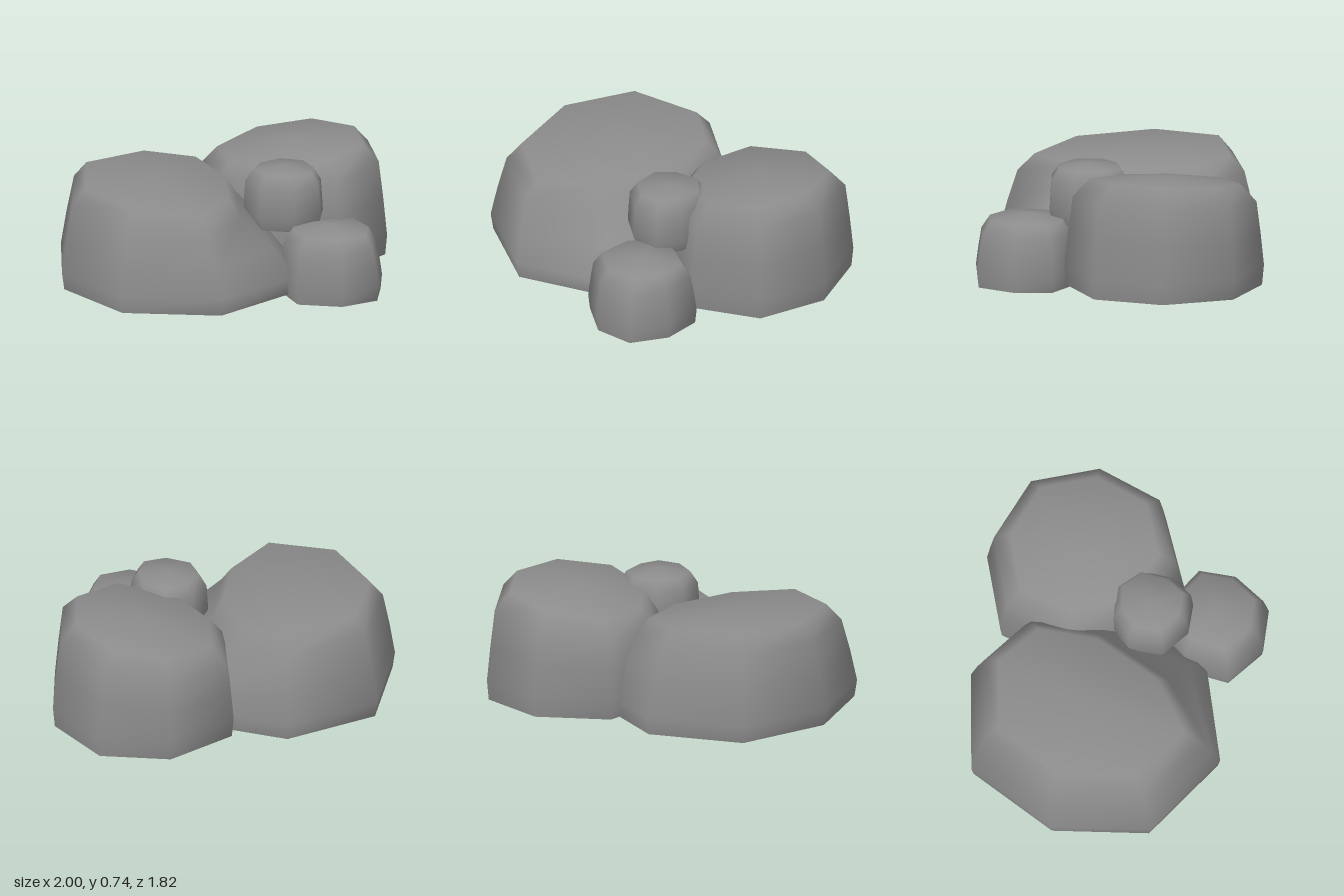
import * as THREE from 'three';

const material = new THREE.MeshStandardMaterial({ color: 0x8c8c8c });

// A boulder: stacked rings blended from a foot outline to a shoulder outline,
// closed by shallow cones. Outlines are [x, z] pairs running left, front, right, back.
function rock(name, { foot, shoulder, y, footInset, topInset, tilt = [0, 0], capRise = 0.02 }) {
  const n = foot.length;
  const middle = (o) => [0, 1].map((k) => o.reduce((s, p) => s + p[k], 0) / n);
  const inset = (o, s) => {
    const c = middle(o);
    return o.map((p) => p.map((v, k) => c[k] + (v - c[k]) * s));
  };
  const blend = (t) => foot.map((p, i) => p.map((v, k) => v + (shoulder[i][k] - v) * t));
  const [yBottom, yRim, yWide, yShoulder, yTop] = y;
  const centre = middle(shoulder);
  const rings = [
    [inset(foot, footInset), yRim, 0],
    [foot, yWide, 0],
    [blend(0.45), yWide + (yShoulder - yWide) * 0.5, 0.4],
    [shoulder, yShoulder, 0.9],
    [inset(shoulder, topInset), yTop, 1],
  ];
  const pos = [];
  for (const [outline, h, lean] of rings) {
    for (const [x, z] of outline) {
      const slope = (x - centre[0]) * tilt[0] + (z - centre[1]) * tilt[1];
      pos.push(x, h + slope * lean, z);
    }
  }
  const base = middle(foot);
  pos.push(base[0], yBottom, base[1], centre[0], yTop + capRise, centre[1]);

  const bottom = rings.length * n, top = bottom + 1, last = (rings.length - 1) * n;
  const upper = [], underside = [];
  for (let i = 0; i < n; i++) {
    const j = (i + 1) % n;
    for (let r = 0; r < last; r += n) {
      upper.push(r + i, r + j, r + n + j, r + i, r + n + j, r + n + i);
    }
    upper.push(top, last + i, last + j);
    underside.push(bottom, j, i);
  }
  const geometry = new THREE.BufferGeometry();
  geometry.setAttribute('position', new THREE.Float32BufferAttribute(pos, 3));
  // The rim keeps the normals of the walls, so the underside rounds off smoothly
  geometry.setIndex(upper);
  geometry.computeVertexNormals();
  geometry.attributes.normal.setXYZ(bottom, 0, -1, 0);
  geometry.setIndex([...upper, ...underside]);
  const mesh = new THREE.Mesh(geometry, material);
  mesh.name = name;
  return mesh;
}

// Shoulder outline made by shrinking a foot outline about a point
const shrink = (o, s, cx, cz) => o.map(([x, z]) => [cx + (x - cx) * s, cz + (z - cz) * s]);

export function createModel() {
  const group = new THREE.Group();
  group.name = 'rockPile';

  // Broad boulder with one long sloping side
  group.add(rock('largeRock', {
    foot: [[-1, 0.24], [-0.73, 0.76], [-0.15, 0.91], [0.37, 0.52],
      [0.4, -0.05], [0.08, -0.5], [-0.39, -0.64], [-0.91, -0.35]],
    shoulder: [[-0.93, 0.2], [-0.68, 0.68], [-0.22, 0.82], [0.03, 0.46],
      [0.08, -0.03], [-0.06, -0.42], [-0.4, -0.54], [-0.84, -0.3]],
    y: [0, 0.05, 0.15, 0.54, 0.64], footInset: 0.98, topInset: 0.86,
    tilt: [-0.055, -0.04],
  }));

  // Tall boulder behind, its domed top rising to one side
  const tall = [[-0.04, -0.19], [0.24, 0.13], [0.69, 0.2], [1, -0.09],
    [1, -0.53], [0.72, -0.88], [0.29, -0.91], [-0.07, -0.62]];
  group.add(rock('tallRock', {
    foot: tall, shoulder: shrink(tall, 0.92, 0.42, -0.37),
    y: [0.01, 0.06, 0.18, 0.58, 0.685], footInset: 0.98, topInset: 0.82,
    tilt: [0.13, -0.01], capRise: 0.04,
  }));

  // Small stone on the ground in front
  const low = [[0.27, 0.43], [0.33, 0.7], [0.59, 0.79], [0.82, 0.7],
    [0.88, 0.46], [0.8, 0.23], [0.58, 0.18], [0.36, 0.22]];
  group.add(rock('frontRock', {
    foot: low, shoulder: shrink(low, 0.9, 0.52, 0.48),
    y: [0, 0.03, 0.12, 0.34, 0.42], footInset: 0.97, topInset: 0.82, capRise: 0.03,
  }));

  // Smallest stone perched between the others
  const perched = [[0.1, 0.15], [0.17, 0.34], [0.36, 0.41], [0.53, 0.35],
    [0.57, 0.19], [0.52, -0.01], [0.35, -0.09], [0.18, 0]];
  group.add(rock('perchedRock', {
    foot: perched, shoulder: shrink(perched, 0.95, 0.32, 0.16),
    y: [0.36, 0.38, 0.45, 0.64, 0.71], footInset: 0.9, topInset: 0.8,
  }));

  return group;
}
